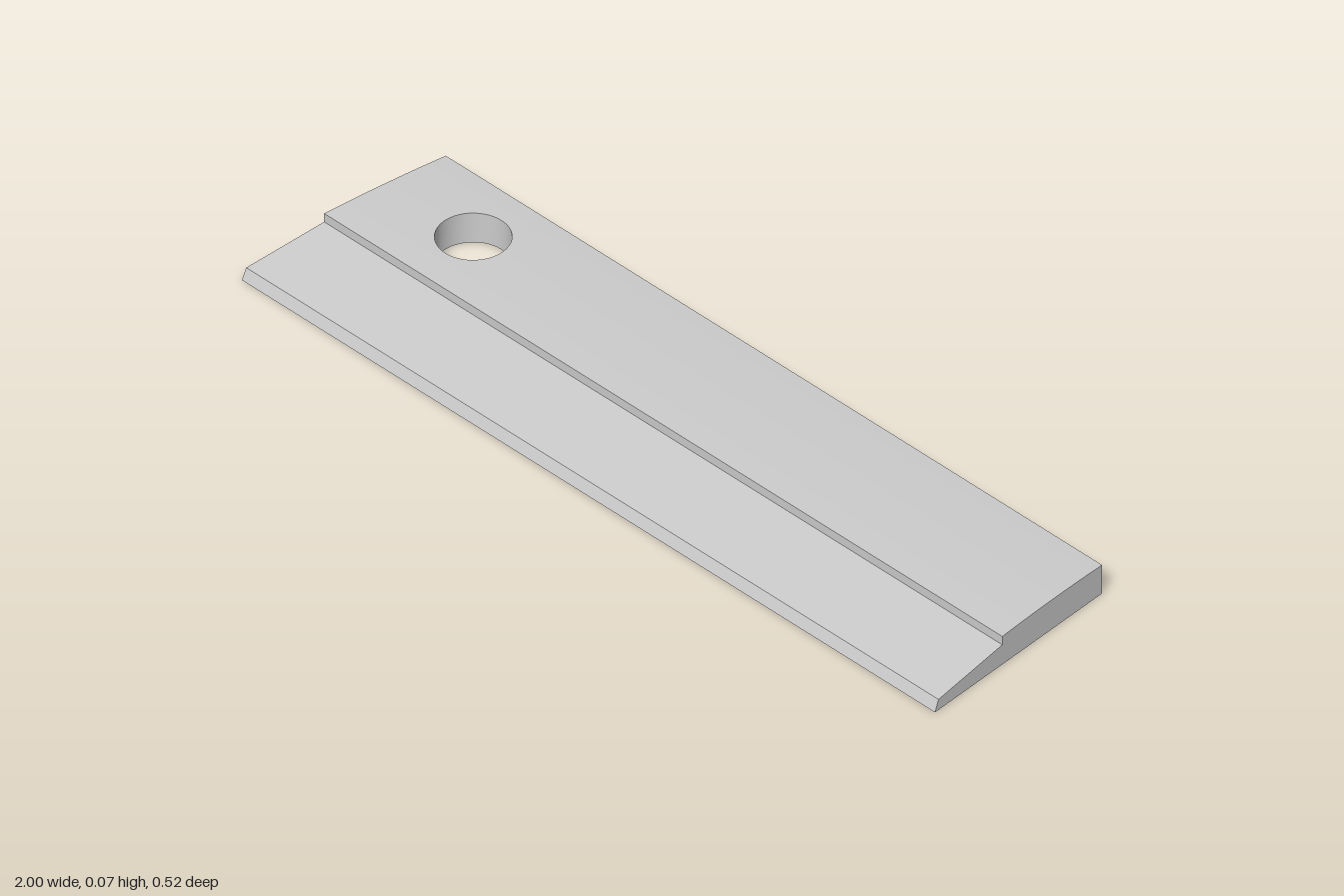
import * as THREE from 'three';
import { toCreasedNormals } from 'three/addons/utils/BufferGeometryUtils.js';

const HOLE = { x: -0.713, z: -0.109, r: 0.078, steps: 24 };
const FRONT = 0.258, BACK = -0.258;

// The ends taper: half the length at depth z
const halfLength = z => THREE.MathUtils.mapLinear(z, BACK, FRONT, 0.947, 1);
// Slightly crowned top of the raised rear part
const crown = z => 0.0734 - 0.118 * (z + 0.12) ** 2;

// Rows from front to back: depth, top height and half width of the hole
function makeRows() {
  const rows = [
    { z: FRONT, y: 0, h: 0 },
    { z: 0.247, y: 0.026, h: 0 },
    { z: 0.05, y: 0.049, h: 0 },
  ];
  const raised = (z, h = 0) => rows.push({ z, y: crown(z), h });
  raised(0.05);
  raised(0.01);
  for (let i = 0; i <= HOLE.steps; i++) {
    const a = Math.PI * i / HOLE.steps;
    const inside = i > 0 && i < HOLE.steps;
    raised(HOLE.z + HOLE.r * Math.cos(a), inside ? HOLE.r * Math.sin(a) : 0);
  }
  raised(-0.22);
  raised(BACK);
  return rows;
}

function bladeGeometry() {
  const positions = [];
  const tri = (a, b, c) => {
    if (new THREE.Triangle(a, b, c).getArea() > 1e-9)
      for (const p of [a, b, c]) positions.push(p.x, p.y, p.z);
  };
  const quad = (a, b, c, d) => { tri(a, b, c); tri(a, c, d); };
  const P = (x, y, z) => new THREE.Vector3(x, y, z);

  // Corners of one row on the right (-1) or left (+1) of the hole
  const section = ({ z, y, h }, side) => {
    const a = side < 0 ? -halfLength(z) : HOLE.x + h;
    const b = side < 0 ? HOLE.x - h : halfLength(z);
    return { a0: P(a, 0, z), b0: P(b, 0, z), a1: P(a, y, z), b1: P(b, y, z) };
  };

  const rows = makeRows();
  for (const side of [-1, 1]) {
    for (let i = 0; i < rows.length - 1; i++) {
      const s = section(rows[i], side), t = section(rows[i + 1], side);
      const open = rows[i].h > 0 || rows[i + 1].h > 0;
      quad(s.a1, s.b1, t.b1, t.a1); // top
      quad(s.b0, s.a0, t.a0, t.b0); // underside
      if (side > 0 || open) quad(s.b0, t.b0, t.b1, s.b1); // end or hole wall
      if (side < 0 || open) quad(t.a0, s.a0, s.a1, t.a1);
    }
    const e = section(rows[rows.length - 1], side);
    quad(e.b0, e.a0, e.a1, e.b1); // back
  }

  const geometry = new THREE.BufferGeometry();
  geometry.setAttribute('position', new THREE.Float32BufferAttribute(positions, 3));
  return toCreasedNormals(geometry, 0.35);
}

export function createModel() {
  const group = new THREE.Group();
  group.name = 'taperedPlate';
  const plate = new THREE.Mesh(
    bladeGeometry(),
    new THREE.MeshStandardMaterial({ color: 0xcccccc })
  );
  plate.name = 'steppedPlateWithHole';
  group.add(plate);
  return group;
}
